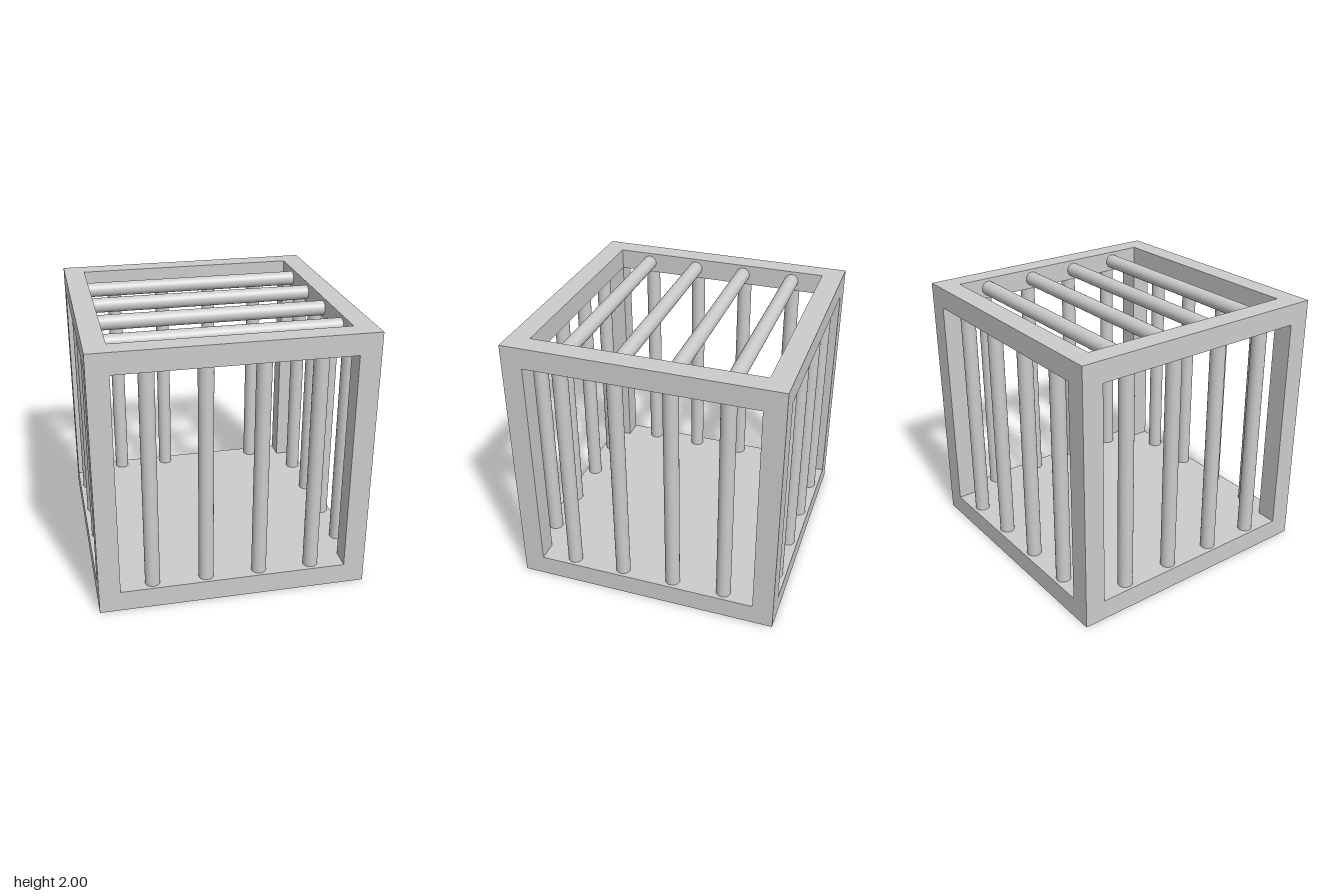
import * as THREE from 'three';

const T = 0.157;          // beam thickness
const IN = 1 - T;         // inner edge of the beams
const MID = 1 - T / 2;    // centre line of the beams
const BAR_R = 0.055;

export function createModel() {
  const cage = new THREE.Group();
  cage.name = 'cage';
  const mat = new THREE.MeshStandardMaterial({ color: 0xcccccc, side: THREE.DoubleSide });

  const add = (parent, name, geometry) => {
    const mesh = new THREE.Mesh(geometry, mat);
    mesh.name = name;
    parent.add(mesh);
    return mesh;
  };
  const polygon = (points, PathType = THREE.Shape) =>
    new PathType(points.map(([x, y]) => new THREE.Vector2(x, y)));
  const windowHole = () => polygon([[-IN, -IN], [-IN, IN], [IN, IN], [IN, -IN]], THREE.Path);

  // Square panel with a square opening, used for the walls and the top
  const panel = polygon([[-1, -1], [1, -1], [1, 1], [-1, 1]]);
  panel.holes.push(windowHole());
  const panelGeo = new THREE.ShapeGeometry(panel);

  // Square with its four corners cut out for the hollow posts
  const notched = () => polygon([
    [-IN, -1], [IN, -1], [IN, -IN], [1, -IN], [1, IN], [IN, IN],
    [IN, 1], [-IN, 1], [-IN, IN], [-1, IN], [-1, -IN], [-IN, -IN],
  ]);

  // Horizontal surfaces: the base of the frame stays open below the floor
  const topGeo = panelGeo.clone().rotateX(-Math.PI / 2).translate(0, 2, 0);
  add(cage, 'topFrame', topGeo);
  add(cage, 'floor', new THREE.ShapeGeometry(notched()).rotateX(-Math.PI / 2).translate(0, T, 0));
  const under = notched();
  under.holes.push(windowHole());
  add(cage, 'topFrameUnderside',
    new THREE.ShapeGeometry(under).rotateX(Math.PI / 2).translate(0, 2 - T, 0));

  const barGeo = new THREE.CylinderGeometry(BAR_R, BAR_R, 2 * MID, 32, 1, true);
  const offsets = [-0.6, -0.2, 0.2, 0.6];

  // Four identical sides turned about the vertical axis
  ['front', 'left', 'back', 'right'].forEach((name, i) => {
    const side = new THREE.Group();
    side.name = name + 'Side';
    side.rotation.y = i * Math.PI / 2;
    cage.add(side);

    add(side, 'wallFrame', panelGeo).position.set(0, 1, 1);
    add(side, 'topInnerFace', new THREE.PlaneGeometry(2 * IN, T).rotateY(Math.PI))
      .position.set(0, 2 - T / 2, IN);

    // Inner faces of the corner posts, lining the opening
    for (const s of [-1, 1]) {
      add(side, 'postInnerFace', new THREE.PlaneGeometry(T, 2 * IN).rotateY(-s * Math.PI / 2))
        .position.set(s * IN, 1, MID);
    }
    for (const x of offsets) add(side, 'uprightBar', barGeo).position.set(x, 1, MID);
  });

  // Bars across the top opening
  for (const z of offsets) {
    const bar = add(cage, 'topBar', barGeo);
    bar.rotation.z = Math.PI / 2;
    bar.position.set(0, 2 - T / 2, z);
  }
  return cage;
}
